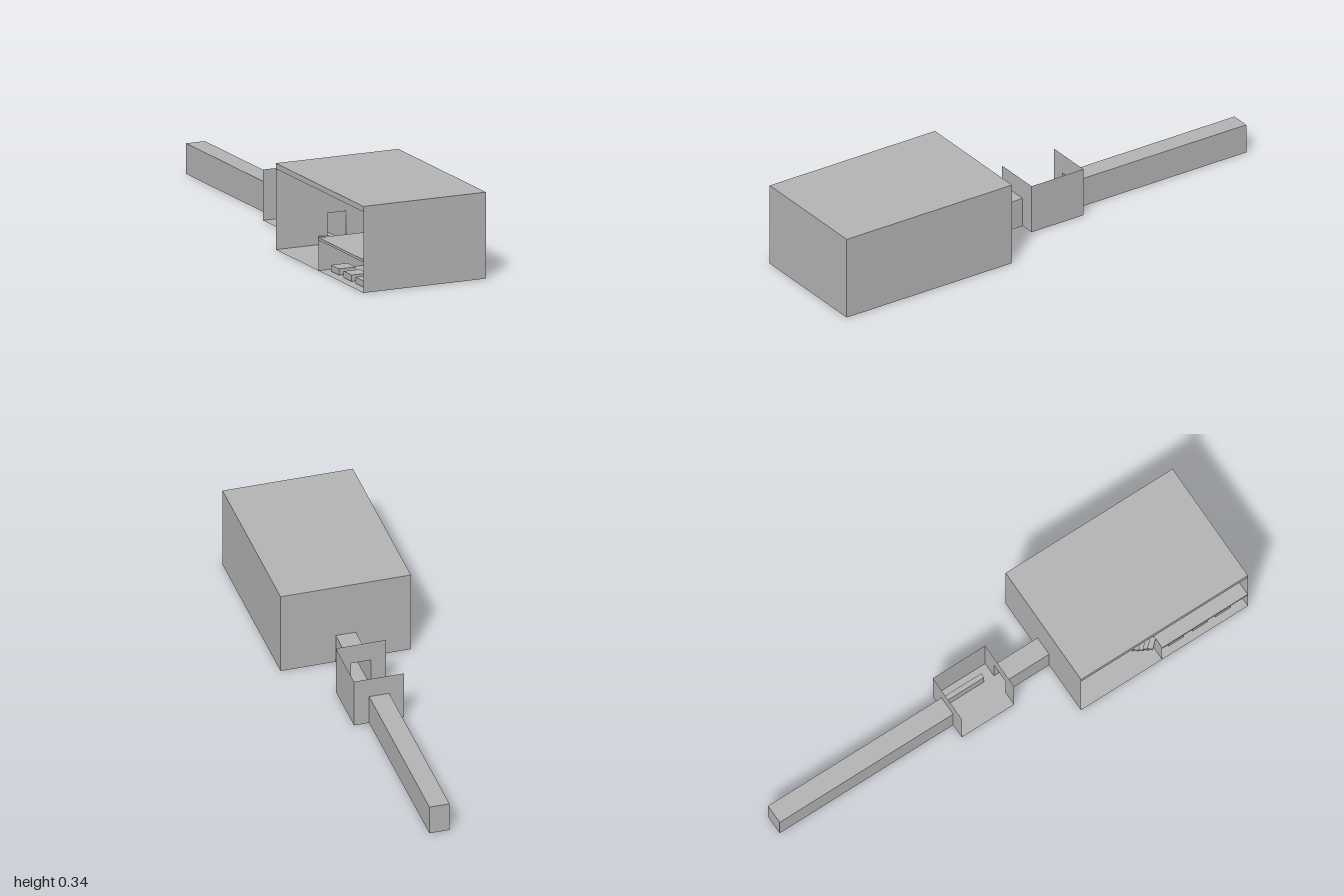
import * as THREE from 'three';

const plaster = new THREE.MeshStandardMaterial({ color: 0xb2b2b2, side: THREE.DoubleSide });
plaster.name = 'greyPlaster';

export function createModel() {
  const model = new THREE.Group();

  const add = (parent, name, geometry) => {
    const mesh = new THREE.Mesh(geometry, plaster);
    mesh.name = name;
    parent.add(mesh);
    return mesh;
  };
  const group = (name) => {
    const g = new THREE.Group();
    g.name = name;
    model.add(g);
    return g;
  };
  const box = (parent, name, x0, x1, y0, y1, z0, z1) =>
    add(parent, name, new THREE.BoxGeometry(x1 - x0, y1 - y0, z1 - z0))
      .position.set((x0 + x1) / 2, (y0 + y1) / 2, (z0 + z1) / 2);

  // Sheet across x at depth z, with an optional doorway cut from the floor
  const crossWall = (parent, name, x0, x1, y0, y1, z, door = false) => {
    const s = new THREE.Shape();
    s.moveTo(x0, y0);
    if (door) s.lineTo(-0.04, y0).lineTo(-0.04, 0.12).lineTo(0.04, 0.12).lineTo(0.04, y0);
    s.lineTo(x1, y0).lineTo(x1, y1).lineTo(x0, y1).closePath();
    add(parent, name, new THREE.ShapeGeometry(s)).position.z = z;
  };
  // Sheet along z at a fixed x
  const sideWall = (parent, name, x, y0, y1, z0, z1) => {
    const g = new THREE.PlaneGeometry(z1 - z0, y1 - y0).rotateY(Math.PI / 2 * (Math.sign(x) || 1));
    add(parent, name, g).position.set(x, (y0 + y1) / 2, (z0 + z1) / 2);
  };
  // Level sheet facing up (1) or down (-1)
  const level = (parent, name, x0, x1, y, z0, z1, facing) => {
    const g = new THREE.PlaneGeometry(x1 - x0, z1 - z0).rotateX(-facing * Math.PI / 2);
    add(parent, name, g).position.set((x0 + x1) / 2, y, (z0 + z1) / 2);
  };

  // Main hall, open on its -x side
  const hall = group('mainHall');
  crossWall(hall, 'hallFrontWall', -0.26, 0.26, 0, 0.34, 1);
  crossWall(hall, 'hallBackWall', -0.26, 0.26, 0, 0.34, 0.235, true);
  sideWall(hall, 'hallSideWall', 0.26, 0, 0.34, 0.235, 1);
  sideWall(hall, 'hallRoofEdge', -0.26, 0.318, 0.34, 0.235, 1);
  level(hall, 'hallRoof', -0.26, 0.26, 0.34, 0.235, 1, 1);
  level(hall, 'hallCeiling', -0.26, 0.26, 0.318, 0.235, 1, -1);
  level(hall, 'hallFloor', -0.26, 0.26, 0, 0.235, 1, -1);

  // Upper floor and the partition holding it
  box(hall, 'upperFloor', -0.26, 0.259, 0.12, 0.13, 0.607, 0.999);
  crossWall(hall, 'partition', -0.26, 0.26, 0, 0.12, 0.607);

  // Benches below the upper floor
  for (const z of [0.69, 0.8, 0.905]) box(hall, 'bench', -0.23, -0.16, 0.005, 0.03, z - 0.035, z + 0.035);

  // Curved stair climbing to the upper floor
  const path = new THREE.CatmullRomCurve3([
    new THREE.Vector3(-0.08, 0.005, 0.51),
    new THREE.Vector3(-0.16, 0.06, 0.53),
    new THREE.Vector3(-0.22, 0.122, 0.585),
  ]);
  const steps = 10;
  for (let i = 0; i < steps; i++) {
    const t = i / (steps - 1);
    const d = path.getTangentAt(t);
    const tread = add(hall, 'stairTread', new THREE.BoxGeometry(0.022, 0.01, 0.05));
    tread.position.copy(path.getPointAt(t));
    tread.rotation.y = Math.atan2(-d.z, d.x);
  }

  // Small open-topped room, also open on its -x side
  const room = group('smallRoom');
  crossWall(room, 'roomFrontWall', -0.1, 0.1, 0, 0.2, 0.035, true);
  crossWall(room, 'roomBackWall', -0.1, 0.1, 0, 0.2, -0.205, true);
  sideWall(room, 'roomSideWall', 0.1, 0, 0.2, -0.205, 0.035);
  level(room, 'roomFloor', -0.1, 0.1, 0, -0.205, 0.035, -1);
  box(room, 'roomLedge', 0.04, 0.06, 0.002, 0.05, -0.204, -0.01);

  // Corridors on either side of the small room
  const corridor = (name, z0, z1, gap) => {
    const g = group(name);
    sideWall(g, 'corridorRightWall', 0.04, 0, 0.12, z0, z1 - gap);
    sideWall(g, 'corridorLeftWall', -0.04, 0, 0.12, z0, z1);
    level(g, 'corridorRoof', -0.04, 0.04, 0.12, z0, z1, 1);
    level(g, 'corridorFloor', -0.04, 0.04, 0, z0, z1, -1);
    return g;
  };
  corridor('shortCorridor', 0.035, 0.235, 0.01);
  const long = corridor('longCorridor', -1, -0.205, 0);
  crossWall(long, 'corridorEnd', -0.04, 0.04, 0, 0.12, -1);

  return model;
}
